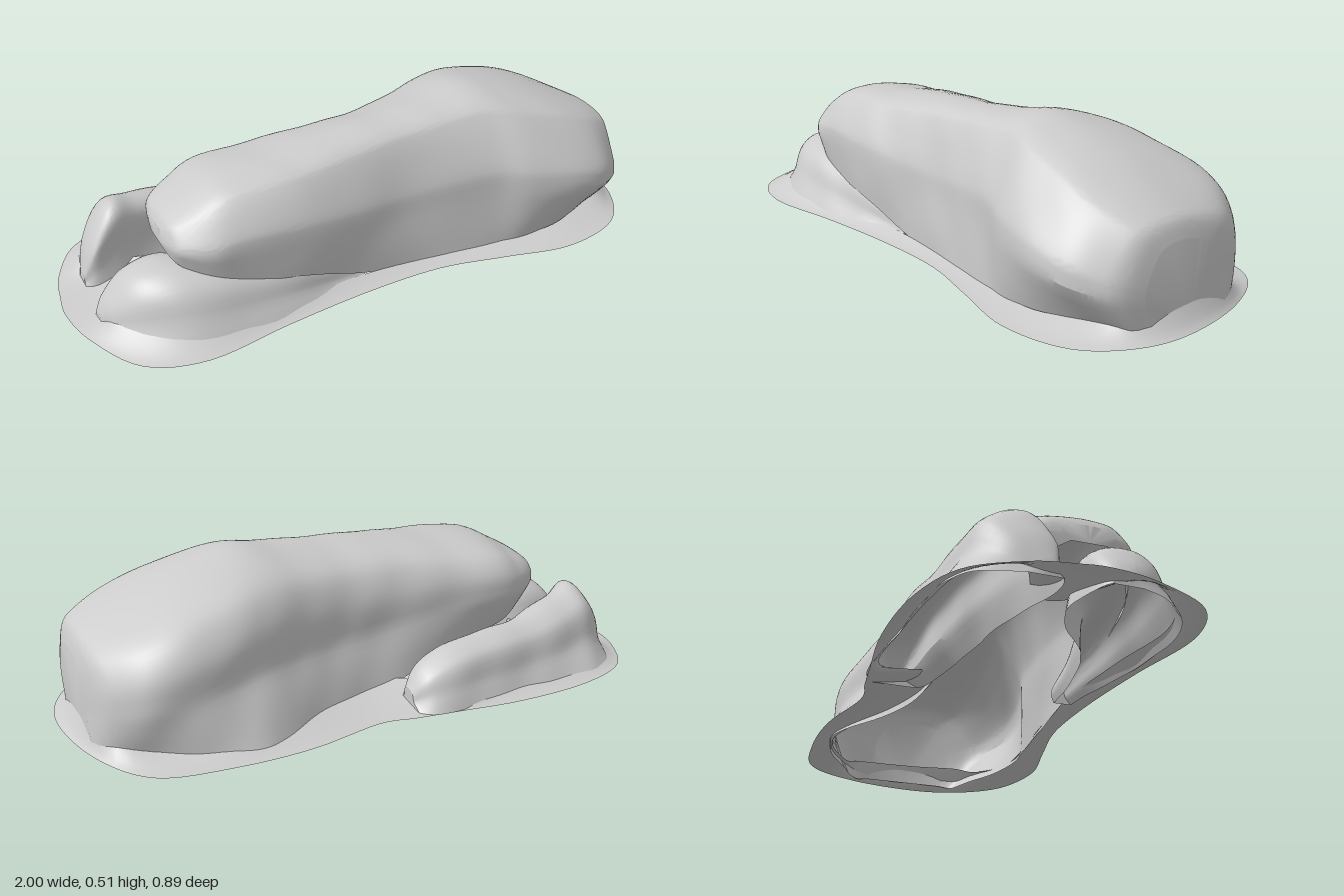
import * as THREE from 'three';
import { toCreasedNormals } from 'three/addons/utils/BufferGeometryUtils.js';

const material = new THREE.MeshStandardMaterial({ color: 0xcccccc, side: THREE.DoubleSide });

// Catmull-Rom interpolation through rows of numbers, t in 0..1
function sample(rows, t) {
  const f = t * (rows.length - 1), i = Math.min(Math.floor(f), rows.length - 2), s = f - i;
  const at = (k) => rows[Math.max(0, Math.min(rows.length - 1, k))];
  const [a, b, c, d] = [at(i - 1), at(i), at(i + 1), at(i + 2)];
  return b.map((_, k) => 0.5 * (2 * b[k] + (c[k] - a[k]) * s
    + (2 * a[k] - 5 * b[k] + 4 * c[k] - d[k]) * s * s
    + (3 * b[k] - a[k] - 3 * c[k] + d[k]) * s * s * s));
}

// Smooth, repeatable unevenness for the stone surface
const rough = (x, y, z) => Math.sin(9 * x + 7 * y + 3) * Math.sin(11 * z - 5 * y + 1)
  + 0.5 * Math.sin(23 * x - 13 * z) * Math.sin(19 * y + 8 * x + 2);

// Turn a grid of points into a surface; fan-close the two ends down to their base if asked
function gridGeometry(grid, caps) {
  const pos = grid.flat(2), index = [], n = grid[0].length, m = grid.length;
  for (let i = 0; i < m - 1; i++) {
    for (let j = 0; j < n - 1; j++) {
      const a = i * n + j, b = a + 1, c = a + n, d = c + 1;
      index.push(a, b, c, b, d, c);
    }
  }
  if (caps) {
    for (const i of [0, m - 1]) {
      const centre = pos.length / 3, first = grid[i][0], last = grid[i][n - 1];
      for (let k = 0; k < 3; k++) pos.push((first[k] + last[k]) / 2);
      for (let j = 0; j < n - 1; j++) {
        const a = i * n + j;
        if (i === 0) index.push(centre, a + 1, a);
        else index.push(centre, a, a + 1);
      }
    }
  }
  const geo = new THREE.BufferGeometry();
  geo.setAttribute('position', new THREE.Float32BufferAttribute(pos, 3));
  geo.setIndex(index);
  return toCreasedNormals(geo, 0.5);
}

// Stone lofted along x.
// Station: x, back z, front z, top y, bottom y, back z at base, front z at base
// Profile: across (-1 back .. 1 front), height (0 .. 1)
function stone(name, stations, profile, nx, np, amount) {
  const grid = [];
  for (let i = 0; i <= nx; i++) {
    const [x, zb, zf, top, bottom, bb, bf] = sample(stations, i / nx);
    const ring = [];
    for (let j = 0; j <= np; j++) {
      const [u, v] = sample(profile, j / np);
      const w = THREE.MathUtils.clamp(1 - v / 0.4, 0, 1);
      const back = zb + (bb - zb) * w, front = zf + (bf - zf) * w;
      const z = (back + front) / 2 + u * (front - back) / 2;
      const y = bottom + v * (top - bottom);
      const r = amount * rough(x, y, z);
      ring.push([x + r * 0.4, Math.max(0.005, y + r * Math.min(1, v * 2)), z + r * u]);
    }
    grid.push(ring);
  }
  const mesh = new THREE.Mesh(gridGeometry(grid, true), material);
  mesh.name = name;
  return mesh;
}

// Ground skirt from a wavy outline inward to the feet of the stones
function groundSkirt() {
  // Outer x, outer z, inner x, inner z, inner y
  const rim = [
    [1, 0.05, 0.94, 0.05, 0.09], [0.97, 0.24, 0.9, 0.21, 0.085], [0.85, 0.39, 0.81, 0.27, 0.05],
    [0.63, 0.44, 0.64, 0.33, 0.03], [0.4, 0.39, 0.4, 0.315, 0.02], [0.17, 0.34, 0.17, 0.285, 0.02],
    [-0.1, 0.34, -0.1, 0.275, 0.03], [-0.4, 0.37, -0.4, 0.31, 0.04], [-0.68, 0.41, -0.65, 0.34, 0.04],
    [-0.87, 0.34, -0.8, 0.28, 0.05], [-0.97, 0.15, -0.89, 0.12, 0.06], [-1, 0, -0.66, 0.02, 0.08],
    [-0.99, -0.1, -0.66, -0.08, 0.08], [-0.96, -0.22, -0.87, -0.2, 0.05],
    [-0.86, -0.37, -0.8, -0.33, 0.04], [-0.66, -0.44, -0.64, -0.375, 0.03],
    [-0.4, -0.45, -0.4, -0.39, 0.03], [-0.17, -0.42, -0.15, -0.385, 0.03],
    [-0.03, -0.4, -0.1, -0.2, 0.05], [0.1, -0.38, 0.08, -0.19, 0.04],
    [0.35, -0.43, 0.35, -0.31, 0.03], [0.6, -0.43, 0.58, -0.36, 0.03],
    [0.83, -0.38, 0.8, -0.26, 0.04], [0.95, -0.2, 0.92, -0.17, 0.08],
  ];
  const loop = (pick) => new THREE.CatmullRomCurve3(
    rim.map((r) => new THREE.Vector3(...pick(r))), true, 'catmullrom').getPoints(144);
  const outer = loop((r) => [r[0], 0.008, r[1]]), inner = loop((r) => [r[2], r[4], r[3]]);
  const grid = [];
  for (let i = 0; i <= 5; i++) {
    const t = 1 - i / 5;
    grid.push(outer.map((p, k) => {
      const q = p.clone().lerp(inner[k], t);
      return [q.x, p.y + (inner[k].y - p.y) * t ** 1.4, q.z];
    }));
  }
  const mesh = new THREE.Mesh(gridGeometry(grid, false), material);
  mesh.name = 'groundSkirt';
  return mesh;
}

export function createModel() {
  const group = new THREE.Group();
  group.name = 'rockFormation';

  // Long boulder: broad high end at +x, overhanging narrow end at -x
  const boulder = [
    [-0.705, 0.00, 0.16, 0.31, 0.25, 0.02, 0.14],
    [-0.68, -0.08, 0.22, 0.345, 0.215, -0.04, 0.19],
    [-0.60, -0.14, 0.27, 0.39, 0.165, -0.09, 0.245],
    [-0.50, -0.175, 0.285, 0.435, 0.14, -0.13, 0.275],
    [-0.30, -0.155, 0.30, 0.455, 0.11, -0.15, 0.295],
    [-0.10, -0.135, 0.28, 0.475, 0.04, -0.19, 0.28],
    [0.08, -0.15, 0.265, 0.487, 0.01, -0.22, 0.28],
    [0.25, -0.195, 0.28, 0.503, 0.01, -0.28, 0.30],
    [0.40, -0.25, 0.31, 0.518, 0.01, -0.37, 0.32],
    [0.52, -0.29, 0.36, 0.498, 0.01, -0.395, 0.34],
    [0.67, -0.325, 0.385, 0.455, 0.01, -0.35, 0.32],
    [0.80, -0.31, 0.375, 0.40, 0.01, -0.27, 0.26],
    [0.89, -0.24, 0.325, 0.355, 0.01, -0.22, 0.23],
    [0.93, -0.18, 0.275, 0.325, 0.01, -0.18, 0.21],
    [0.95, -0.10, 0.20, 0.27, 0.02, -0.14, 0.17],
  ];
  const boulderProfile = [
    [-0.97, 0], [-1, 0.2], [-1, 0.42], [-0.98, 0.64], [-0.84, 0.81], [-0.62, 0.905], [-0.25, 0.97],
    [0.1, 1], [0.42, 0.98], [0.6, 0.94], [0.69, 0.89], [0.82, 0.77], [0.96, 0.6], [1, 0.48], [1, 0.2], [0.98, 0],
  ];
  group.add(stone('boulder', boulder, boulderProfile, 84, 60, 0.004));

  // Slab lying beside the boulder at the back
  const backSlab = [
    [-0.90, -0.17, -0.11, 0.06, 0.01, -0.20, -0.09],
    [-0.86, -0.26, -0.09, 0.17, 0.01, -0.33, -0.08],
    [-0.78, -0.31, -0.11, 0.265, 0.01, -0.38, -0.09],
    [-0.68, -0.34, -0.155, 0.24, 0.01, -0.395, -0.12],
    [-0.52, -0.365, -0.20, 0.21, 0.01, -0.405, -0.16],
    [-0.35, -0.38, -0.22, 0.20, 0.01, -0.41, -0.17],
    [-0.20, -0.39, -0.235, 0.18, 0.01, -0.415, -0.18],
    [-0.10, -0.38, -0.25, 0.14, 0.01, -0.41, -0.20],
    [-0.05, -0.34, -0.28, 0.07, 0.01, -0.38, -0.23],
  ];
  const slabProfile = [
    [-1, 0], [-0.99, 0.25], [-0.93, 0.5], [-0.72, 0.78], [-0.3, 0.92], [0.2, 1], [0.65, 0.98],
    [0.95, 0.85], [1, 0.6], [0.99, 0.3], [0.98, 0],
  ];
  group.add(stone('backSlab', backSlab, slabProfile, 44, 28, 0.007));

  // Low stone wedged under the overhanging end, thinning to a lip along the front
  const frontWedge = [
    [-0.92, 0.06, 0.10, 0.045, 0.01, 0.04, 0.12],
    [-0.89, 0.03, 0.17, 0.10, 0.01, 0.02, 0.20],
    [-0.82, 0.01, 0.25, 0.18, 0.01, 0.00, 0.29],
    [-0.73, 0.00, 0.30, 0.215, 0.01, -0.01, 0.345],
    [-0.62, 0.04, 0.32, 0.205, 0.01, 0.03, 0.36],
    [-0.48, 0.14, 0.315, 0.17, 0.01, 0.14, 0.35],
    [-0.30, 0.19, 0.30, 0.135, 0.01, 0.20, 0.33],
    [-0.08, 0.22, 0.27, 0.07, 0.01, 0.23, 0.29],
  ];
  const wedgeProfile = [
    [-1, 0], [-0.98, 0.4], [-0.85, 0.75], [-0.5, 0.95], [0, 1], [0.4, 0.95], [0.75, 0.75],
    [0.95, 0.4], [1, 0],
  ];
  group.add(stone('frontWedge', frontWedge, wedgeProfile, 40, 26, 0.006));

  group.add(groundSkirt());
  return group;
}
